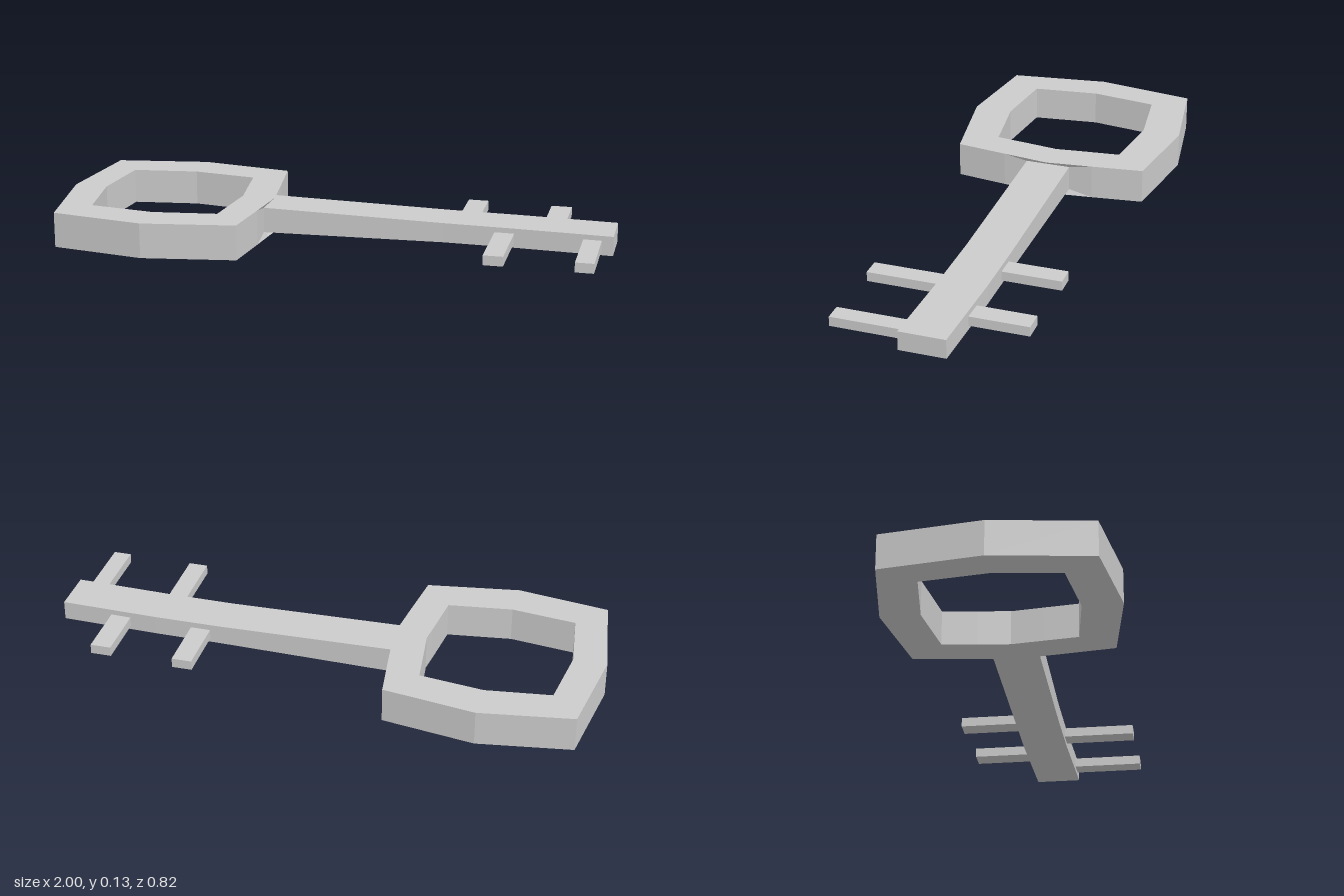
import * as THREE from 'three';

const material = new THREE.MeshStandardMaterial({ color: 0xcccccc, flatShading: true, side: THREE.DoubleSide });

// Joins equal-length cross-section loops into a flat-faced surface.
function loft(name, loops, closed) {
  const n = loops[0].length, pos = [];
  const tri = (a, b, c) => pos.push(...a, ...b, ...c);
  const spans = closed ? loops.length : loops.length - 1;
  for (let i = 0; i < spans; i++) {
    const p = loops[i], q = loops[(i + 1) % loops.length];
    for (let j = 0; j < n; j++) {
      const k = (j + 1) % n;
      tri(p[j], p[k], q[k]);
      tri(p[j], q[k], q[j]);
    }
  }
  if (!closed) {
    const a = loops[0], b = loops[loops.length - 1];
    for (let j = 1; j < n - 1; j++) {
      tri(a[0], a[j + 1], a[j]);
      tri(b[0], b[j], b[j + 1]);
    }
  }
  const g = new THREE.BufferGeometry();
  g.setAttribute('position', new THREE.Float32BufferAttribute(pos, 3));
  g.computeVertexNormals();
  const mesh = new THREE.Mesh(g, material);
  mesh.name = name;
  return mesh;
}

// Eight-sided bow, with a shallow recess in the outer wall where the shaft meets it
function makeBow() {
  const H = 0.127;
  // outer x, outer z, inner x, inner z, whether the wall is recessed here
  const half = [
    [-0.246, 0.085, -0.362, 0.057, true],
    [-0.256, 0.17, -0.369, 0.115, false],
    [-0.28, 0.357, -0.383, 0.238, false],
    [-0.615, 0.409, -0.615, 0.269, false],
    [-0.95, 0.357, -0.85, 0.238, false],
  ];
  const mirrored = half.map(([a, b, c, d, r]) => [a, -b, c, -d, r]).reverse();
  const stations = [[-0.235, 0, -0.355, 0, true], ...half, [-1, 0, -0.88, 0, false], ...mirrored];
  const loops = stations.map(([ox, oz, ix, iz, recessed]) => {
    const mx = recessed ? -0.255 : ox;
    const low = recessed ? 0.02 : 0, high = recessed ? 0.112 : H;
    return [
      [ix, 0, iz], [ix, H, iz], [ox, H, oz],
      [mx, high, oz], [mx, low, oz], [ox, 0, oz],
    ];
  });
  return loft('bow', loops, true);
}

// Square shaft, slightly tapered in height and drifting sideways at the tip
function makeShaft() {
  const sections = [
    [-0.255, 0.02, 0.112, -0.083, 0.082],
    [0.4, 0.03, 0.101, -0.081, 0.083],
    [0.64, 0.03, 0.1, -0.079, 0.087],
    [1, 0.029, 0.099, -0.067, 0.1],
  ];
  const loops = sections.map(([x, y0, y1, z0, z1]) =>
    [[x, y0, z0], [x, y1, z0], [x, y1, z1], [x, y0, z1]]);
  return loft('shaft', loops, false);
}

export function createModel() {
  const group = new THREE.Group();
  group.name = 'key';
  group.add(makeBow(), makeShaft());

  // Teeth: x from, x to, z of the free end
  const teeth = [
    [0.43, 0.503, -0.295],
    [0.738, 0.813, -0.285],
    [0.583, 0.653, 0.35],
    [0.895, 0.96, 0.355],
  ];
  teeth.forEach(([x0, x1, zEnd], i) => {
    const root = Math.sign(zEnd) * 0.065;
    const tooth = new THREE.Mesh(new THREE.BoxGeometry(x1 - x0, 0.035, Math.abs(zEnd - root)), material);
    tooth.position.set((x0 + x1) / 2, zEnd > 0 ? 0.064 : 0.062, (zEnd + root) / 2);
    tooth.name = `tooth${i + 1}`;
    group.add(tooth);
  });
  return group;
}
